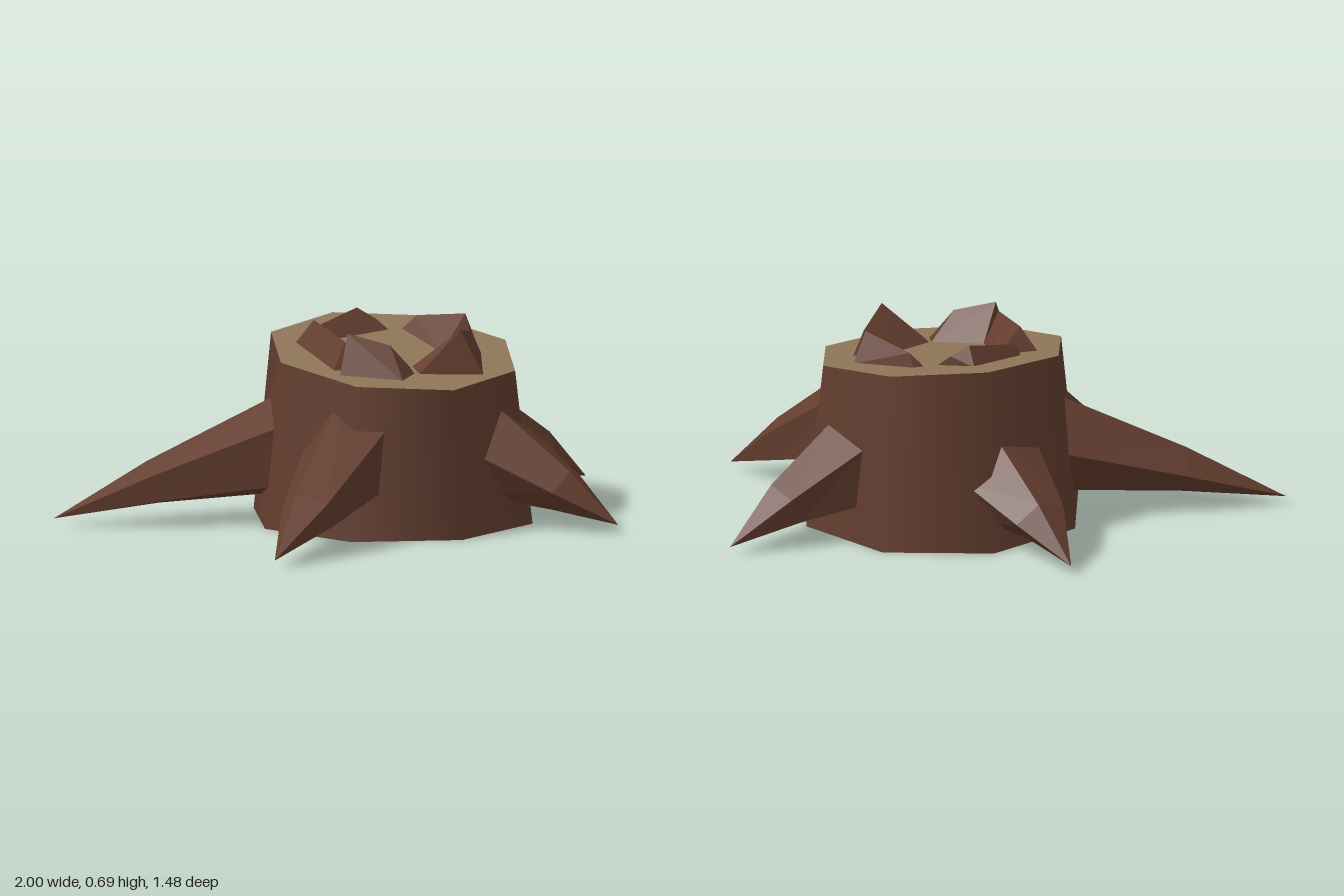
import * as THREE from 'three';
import { ConvexGeometry } from 'three/addons/geometries/ConvexGeometry.js';

const CX = 0.135, CZ = 0.07; // trunk axis
const R_BOTTOM = 0.506, R_TOP = 0.443;
const cutHeight = (z) => 0.582 - 0.142 * (z - CZ); // slanted saw cut

// Five-sided tapering root, open where it is buried in the trunk, ending in a tip on the ground.
// depth is the distance from the trunk axis at which the buried end stops.
function rootGeometry(tipX, tipZ, height, depth) {
  const out = new THREE.Vector3(tipX - CX, 0, tipZ - CZ);
  const length = out.length();
  out.normalize();
  const midReach = 0.37 + (length - 0.37) * 0.57;
  const tip = new THREE.Vector3(tipX, 0.03, tipZ);
  const mid = new THREE.Vector3(CX, 0.142, CZ).addScaledVector(out, midReach);
  const inner = new THREE.Vector3(CX, height, CZ).addScaledVector(out, 0.24);
  const t = (depth - 0.24) / (midReach - 0.24);
  const start = inner.clone().lerp(mid, t);
  const axis = tip.clone().sub(inner).normalize();
  const side = new THREE.Vector3(0, 1, 0).cross(axis).normalize();
  const up = axis.clone().cross(side);
  const N = 5, lean = -0.3;
  const ring = (c, r, upward) => Array.from({ length: N }, (_, i) => {
    const a = lean + (i / N) * Math.PI * 2;
    return c.clone().addScaledVector(upward, r * Math.cos(a)).addScaledVector(side, r * Math.sin(a));
  });
  const a = ring(start, THREE.MathUtils.lerp(0.205, 0.1, t), new THREE.Vector3(0, 1 / up.y, 0));
  const b = ring(mid, 0.1, up.clone().multiplyScalar(0.82));
  const tris = [];
  for (let i = 0; i < N; i++) {
    const j = (i + 1) % N;
    tris.push(a[i], b[i], b[j], a[i], b[j], a[j]); // thick part
    tris.push(b[i], tip, b[j]);                    // pointed end
  }
  // wind every face outward
  const centre = start.clone().lerp(mid, 0.6);
  for (let k = 0; k < tris.length; k += 3) {
    const [p, q, r] = tris.slice(k, k + 3);
    const n = q.clone().sub(p).cross(r.clone().sub(p));
    if (n.dot(p.clone().sub(centre)) < 0) { tris[k + 1] = r; tris[k + 2] = q; }
  }
  const g = new THREE.BufferGeometry().setFromPoints(tris);
  g.computeVertexNormals();
  return g;
}

export function createModel() {
  const model = new THREE.Group();
  model.name = 'treeStump';
  const bark = new THREE.MeshStandardMaterial({ color: 0x643e2f, side: THREE.DoubleSide });
  bark.name = 'bark brown';
  const wood = new THREE.MeshStandardMaterial({ color: 0x8f7658, side: THREE.DoubleSide });
  wood.name = 'cut wood tan';
  const add = (name, geometry, material) => {
    const mesh = new THREE.Mesh(geometry, material);
    mesh.name = name;
    model.add(mesh);
  };

  // Trunk: open eight-sided tube whose upper rim follows the slanted cut
  const trunk = new THREE.CylinderGeometry(R_TOP, R_BOTTOM, 1, 8, 1, true);
  trunk.translate(CX, 0.5, CZ);
  const p = trunk.attributes.position;
  for (let i = 0; i < p.count; i++) if (p.getY(i) > 0.5) p.setY(i, cutHeight(p.getZ(i)));
  add('trunk', trunk, bark);

  // Cut face
  const cut = new THREE.CircleGeometry(R_TOP, 8);
  cut.rotateX(-Math.PI / 2).translate(CX, 0, CZ);
  const c = cut.attributes.position;
  for (let i = 0; i < c.count; i++) c.setY(i, cutHeight(c.getZ(i)));
  cut.computeVertexNormals();
  add('cutFace', cut, wood);

  // Roots: tip x, tip z, height inside the trunk, depth of the buried end
  const roots = {
    rightRoot: [-1, -0.31, 0.3, 0.38], frontRightRoot: [-0.69, 0.735, 0.34, 0.28],
    frontLeftRoot: [0.67, 0.727, 0.34, 0.28], leftRoot: [1, -0.125, 0.3, 0.4],
    backRoot: [-0.035, -0.74, 0.3, 0.38],
  };
  for (const [name, args] of Object.entries(roots)) add(name, rootGeometry(...args), bark);

  // Broken splinters in a ring: top points [x, y, z], then base corners [x, z] on the cut
  const splinters = {
    backSplinter: [[[0.14, 0.69, -0.205], [-0.06, 0.65, -0.14], [0.2, 0.65, -0.18]],
      [[0.135, -0.245], [-0.07, -0.16], [-0.07, -0.09], [0.24, -0.145]]],
    rightSplinter: [[[-0.1, 0.69, -0.075], [-0.12, 0.66, 0.19]],
      [[-0.15, -0.12], [-0.17, 0.2], [0, -0.105], [-0.03, 0.1], [-0.115, 0.22]]],
    frontRightSplinter: [[[-0.115, 0.69, 0.2], [0.01, 0.65, 0.28]],
      [[-0.175, 0.255], [0.015, 0.37], [-0.03, 0.1], [0.115, 0.235], [0.095, 0.31]]],
    frontLeftSplinter: [[[0.26, 0.69, 0.33], [0.38, 0.65, 0.19]],
      [[0.1, 0.32], [0.32, 0.39], [0.43, 0.17], [0.115, 0.235], [0.285, 0.135]]],
    leftSplinter: [[[0.42, 0.69, 0.07], [0.33, 0.66, -0.12]],
      [[0.325, -0.145], [0.47, 0.06], [0.42, 0.15], [0.28, -0.145], [0.29, 0.13]]],
  };
  for (const [name, [tops, bases]] of Object.entries(splinters)) {
    const points = tops.map((v) => new THREE.Vector3(...v));
    for (const [x, z] of bases) points.push(new THREE.Vector3(x, cutHeight(z) - 0.005, z));
    add(name, new ConvexGeometry(points), bark);
  }

  return model;
}
